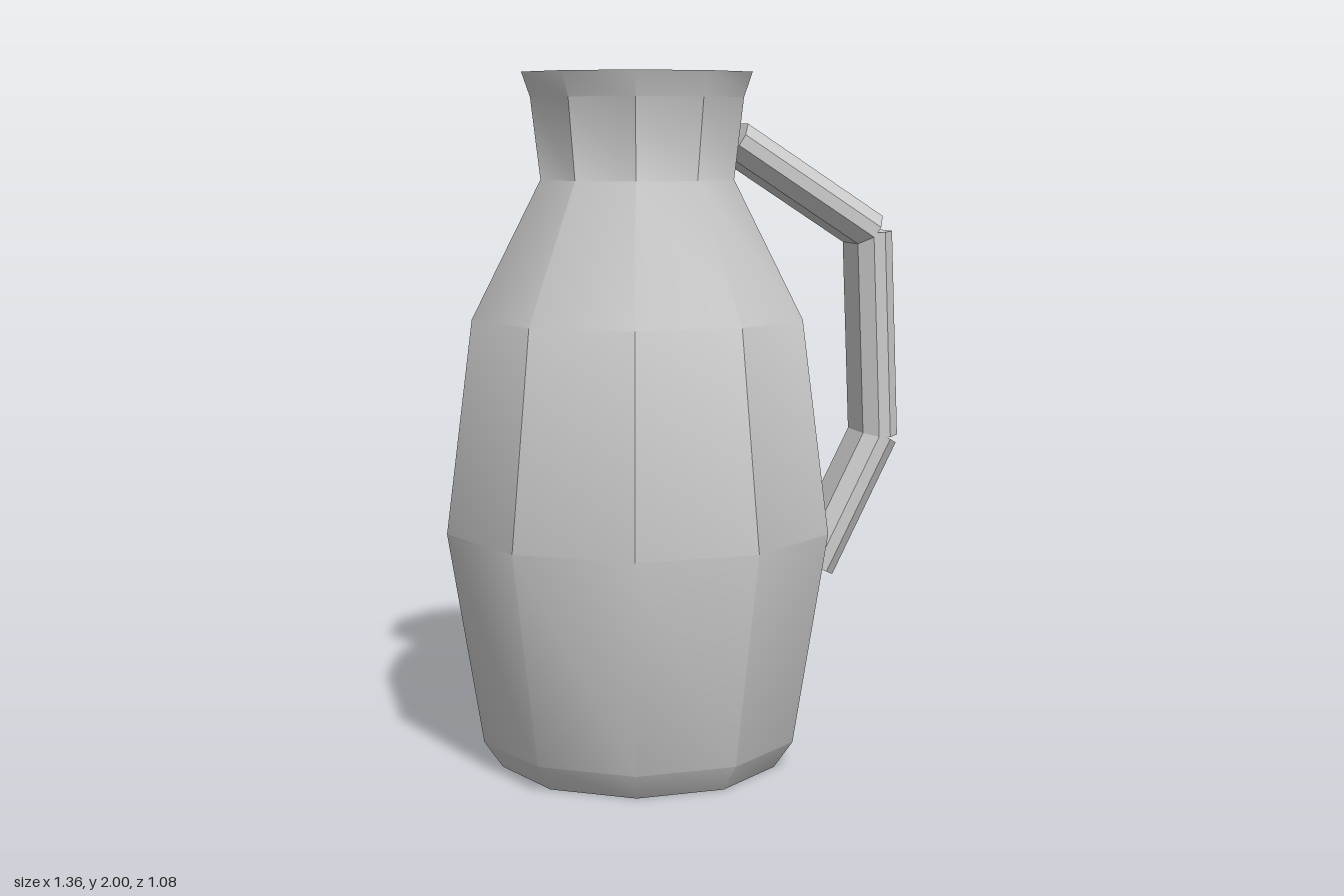
import * as THREE from 'three';
import { toCreasedNormals } from 'three/addons/utils/BufferGeometryUtils.js';

const material = new THREE.MeshStandardMaterial({ color: 0xcccccc });

// Ten-sided jug, closed at the base and the mouth
function makeBody() {
  const profile = [
    [0, 0], [0.415, 0], [0.47, 0.08], [0.57, 0.7], [0.49, 1.31],
    [0.287, 1.7], [0.315, 1.93], [0.34, 2], [0, 2],
  ].map(([r, y]) => new THREE.Vector2(r, y));
  const lathe = new THREE.LatheGeometry(profile, 10, Math.PI / 2);
  const body = new THREE.Mesh(toCreasedNormals(lathe, THREE.MathUtils.degToRad(35.6)), material);
  body.name = 'jugBody';
  body.position.x = -0.115;
  return body;
}

// Straight bar with chamfered corners, running between two points in the xy plane
function makeBar(name, [x0, y0], [x1, y1]) {
  const w = 0.055, h = 0.093, cw = 0.018, ch = 0.058;
  const section = new THREE.Shape([
    [w, -ch], [w, ch], [cw, h], [-cw, h], [-w, ch], [-w, -ch], [-cw, -h], [cw, -h],
  ].map(([x, y]) => new THREE.Vector2(x, y)));
  const start = new THREE.Vector3(x0, y0, 0);
  const along = new THREE.Vector3(x1, y1, 0).sub(start);
  const geometry = new THREE.ExtrudeGeometry(section, { depth: along.length(), bevelEnabled: false });
  along.normalize();
  const outward = new THREE.Vector3(-along.y, along.x, 0);
  const across = new THREE.Vector3().crossVectors(along, outward);
  geometry.applyMatrix4(new THREE.Matrix4().makeBasis(outward, across, along).setPosition(start));
  const bar = new THREE.Mesh(geometry, material);
  bar.name = name;
  return bar;
}

export function createModel() {
  const model = new THREE.Group();
  model.name = 'jug';

  // Handle of three separate bars
  const handle = new THREE.Group();
  handle.name = 'handle';
  handle.add(
    makeBar('handleTop', [0.169, 1.81], [0.593, 1.54]),
    makeBar('handleGrip', [0.598, 1.54], [0.624, 0.93]),
    makeBar('handleBottom', [0.626, 0.933], [0.425, 0.543]),
  );

  model.add(makeBody(), handle);
  return model;
}
